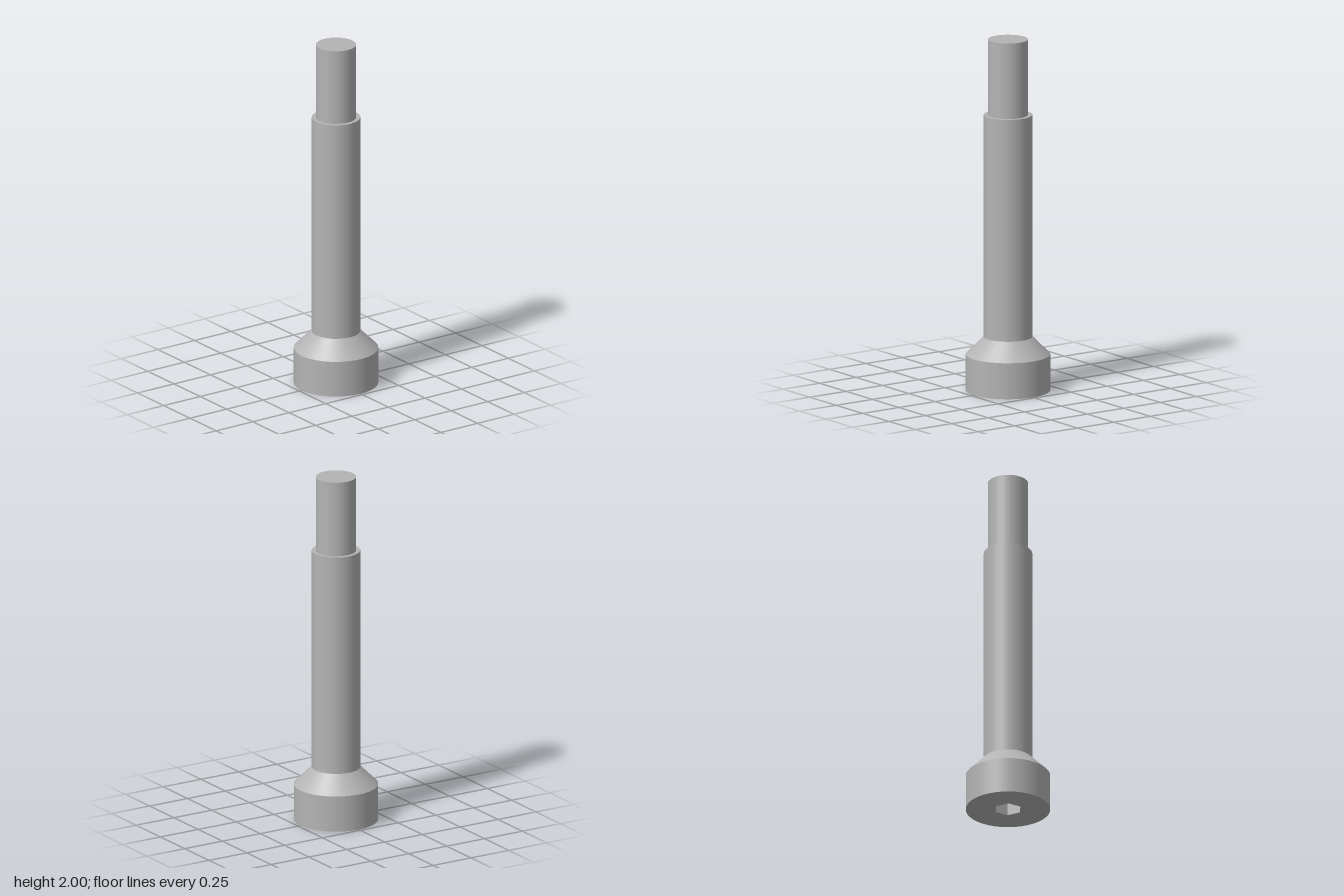
import * as THREE from 'three';

const SEG = 72;
const HEAD_R = 0.235, SHAFT_R = 0.135, TIP_R = 0.112;
const HEAD_TOP = 0.205, CONE_TOP = 0.305, SHAFT_TOP = 1.57, TOP = 2;
const HEX_R = 0.078, HEX_DEPTH = 0.12;

export function createModel() {
  const group = new THREE.Group();
  const steel = new THREE.MeshStandardMaterial({ color: 0xb4b4b4 });
  steel.name = 'steel grey';

  const add = (name, geometry, y = 0) => {
    const mesh = new THREE.Mesh(geometry, steel);
    mesh.name = name;
    mesh.position.y = y;
    group.add(mesh);
    return mesh;
  };
  // Open round wall between two heights
  const wall = (name, rTop, rBottom, y0, y1) =>
    add(name, new THREE.CylinderGeometry(rTop, rBottom, y1 - y0, SEG, 1, true), (y0 + y1) / 2);

  // Head, conical neck, shoulder shaft and narrow tip
  wall('headWall', HEAD_R, HEAD_R, 0, HEAD_TOP);
  wall('conicalNeck', SHAFT_R, HEAD_R, HEAD_TOP, CONE_TOP);
  wall('shaft', SHAFT_R, SHAFT_R, CONE_TOP, SHAFT_TOP);
  wall('tip', TIP_R, TIP_R, SHAFT_TOP, TOP);

  // Upward faces
  add('shoulder', new THREE.RingGeometry(TIP_R, SHAFT_R, SEG).rotateX(-Math.PI / 2), SHAFT_TOP);
  add('tipEnd', new THREE.CircleGeometry(TIP_R, SEG).rotateX(-Math.PI / 2), TOP);

  // Underside of the head with a hexagonal opening, corners on the x axis
  const hex = Array.from({ length: 6 }, (_, i) =>
    new THREE.Vector2(HEX_R * Math.cos(i * Math.PI / 3), HEX_R * Math.sin(i * Math.PI / 3)));
  const face = new THREE.Shape().absarc(0, 0, HEAD_R, 0, Math.PI * 2);
  face.holes.push(new THREE.Path(hex));
  add('headFace', new THREE.ShapeGeometry(face, SEG / 2).rotateX(Math.PI / 2));

  // Socket walls face inward, one flat plate per side
  const apothem = HEX_R * Math.cos(Math.PI / 6);
  for (let i = 0; i < 6; i++) {
    const a = i * Math.PI / 3;
    const side = add('socketWall', new THREE.PlaneGeometry(HEX_R, HEX_DEPTH), HEX_DEPTH / 2);
    side.position.x = apothem * Math.sin(a);
    side.position.z = apothem * Math.cos(a);
    side.rotation.y = a + Math.PI;
  }
  add('socketFloor', new THREE.ShapeGeometry(new THREE.Shape(hex)).rotateX(Math.PI / 2), HEX_DEPTH);

  return group;
}
